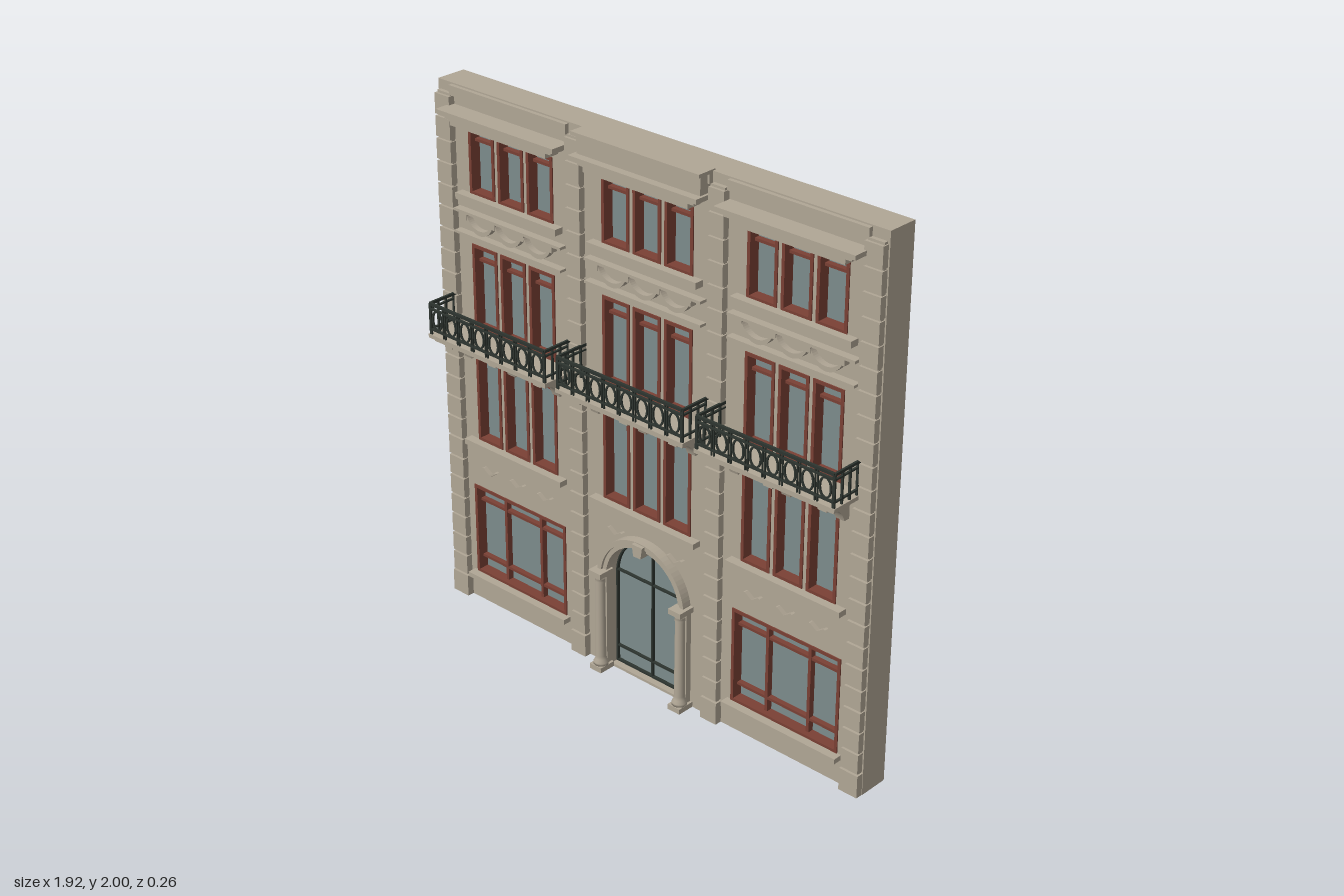
import * as THREE from 'three';

const mat = (name, color) => Object.assign(new THREE.MeshStandardMaterial({ color }), { name });

export function createModel() {
  const stone = mat('stone', 0xb0a695), glass = mat('glass', 0x7c8b8b);
  const timber = mat('redTimber', 0x7a4034), iron = mat('darkIron', 0x2d342f);
  const root = new THREE.Group();
  root.name = 'facade';
  const FACE = -0.015, BACK = -0.13, GLASS = -0.06;
  const BAYS = [-0.62, 0, 0.62], TRIPLE = [-0.138, 0, 0.138];

  const add = (parent, name, geo, m) => {
    const mesh = new THREE.Mesh(geo, m);
    mesh.name = name;
    parent.add(mesh);
    return mesh;
  };
  const box = (parent, name, m, x0, x1, y0, y1, z0, z1) => {
    const mesh = add(parent, name, new THREE.BoxGeometry(x1 - x0, y1 - y0, z1 - z0), m);
    mesh.position.set((x0 + x1) / 2, (y0 + y1) / 2, (z0 + z1) / 2);
    return mesh;
  };
  const extrude = (parent, name, m, shape, z0, z1) => {
    const geo = new THREE.ExtrudeGeometry(shape, { depth: z1 - z0, bevelEnabled: false, curveSegments: 20 });
    const mesh = add(parent, name, geo, m);
    mesh.position.z = z0;
    return mesh;
  };
  const group = (name, x = 0) => {
    const g = new THREE.Group();
    g.name = name;
    g.position.x = x;
    root.add(g);
    return g;
  };
  const poly = pts => new THREE.Shape(pts.map(p => new THREE.Vector2(...p)));
  const rect = (x0, x1, y0, y1) => poly([[x0, y0], [x1, y0], [x1, y1], [x0, y1]]);
  const archShape = (r, y0, spring) => {
    const s = new THREE.Shape();
    s.moveTo(-r, y0);
    s.lineTo(r, y0);
    s.lineTo(r, spring);
    s.absarc(0, spring, r, 0, Math.PI, false);
    s.closePath();
    return s;
  };

  // Window openings: x0, x1, y0, y1, mullion offsets, transom heights
  const openings = [];
  for (const b of BAYS) {
    for (const [y0, y1, t] of [[1.62, 1.85, 1.81], [1.115, 1.43, 1.37], [0.675, 1.06, 0.99]])
      for (const o of TRIPLE) openings.push([b + o - 0.058, b + o + 0.058, y0, y1, [], [t]]);
    if (b) openings.push([b - 0.228, b + 0.228, 0.115, 0.475, [-0.09, 0.09], [0.175, 0.412]]);
  }

  // Wall slab pierced by all openings
  const wall = rect(-0.96, 0.96, 0, 1.995);
  for (const [x0, x1, y0, y1] of openings) wall.holes.push(rect(x0, x1, y0, y1));
  wall.holes.push(archShape(0.17, 0.01, 0.378));
  extrude(root, 'wall', stone, wall, BACK, FACE);

  // Windows
  const windows = group('windows');
  for (const [x0, x1, y0, y1, mullions, transoms] of openings) {
    const w = 0.009, c = (x0 + x1) / 2;
    box(windows, 'pane', glass, x0, x1, y0, y1, GLASS, GLASS + 0.008);
    const frame = rect(x0 - 0.003, x1 + 0.003, y0 - 0.003, y1 + 0.003);
    frame.holes.push(rect(x0 + w, x1 - w, y0 + w, y1 - w));
    extrude(windows, 'windowFrame', timber, frame, GLASS + 0.008, FACE + 0.004);
    for (const m of mullions)
      box(windows, 'mullion', timber, c + m - 0.006, c + m + 0.006, y0, y1, GLASS + 0.008, -0.03);
    for (const t of transoms)
      box(windows, 'transom', timber, x0, x1, t - 0.005, t + 0.005, GLASS + 0.008, -0.032);
  }

  // Rusticated pilasters
  const pilasters = group('pilasters');
  for (const [x0, x1] of [[-0.955, -0.885], [-0.342, -0.278], [0.278, 0.342], [0.885, 0.955]]) {
    box(pilasters, 'pilasterCore', stone, x0 + 0.004, x1 - 0.004, 0, 1.96, FACE, 0);
    box(pilasters, 'pilasterBase', stone, x0 - 0.003, x1 + 0.003, 0, 0.085, FACE, 0.012);
    for (let i = 0; i < 23; i++) {
      const y = 0.092 + i * 0.0812;
      box(pilasters, 'pilasterBlock', stone, x0, x1, y, y + 0.0732, FACE, 0.01);
    }
  }

  for (const b of BAYS) {
    // Sills, frieze ledges and cornice
    const trim = group('bayTrim', b);
    const ledge = (name, w, y0, y1, z) => box(trim, name, stone, -w, w, y0, y1, FACE, z);
    ledge('upperSill', 0.24, 1.597, 1.62, 0.02);
    ledge('middleSill', 0.24, 0.652, 0.673, 0.02);
    if (b) ledge('shopSill', 0.247, 0.095, 0.114, 0.02);
    ledge('friezeTop', 0.255, 1.549, 1.559, 0.015);
    ledge('friezeBottom', 0.255, 1.468, 1.477, 0.015);
    ledge('corniceBed', 0.225, 1.872, 1.89, 0.045);
    ledge('corniceStep', 0.25, 1.89, 1.906, 0.045);
    ledge('corniceShelf', 0.275, 1.906, 1.922, 0.062);
    ledge('parapetBand', 0.274, 1.955, 1.99, 0);
    if (!b) {
      ledge('parapetBlock', 0.265, 1.922, 1.988, 0.032);
      box(trim, 'parapetCap', stone, -0.275, 0.275, 1.988, 2, -0.025, 0.05);
    }

    // Swags and chevrons
    for (const o of TRIPLE) {
      const s = new THREE.Shape();
      s.moveTo(o - 0.068, 1.54);
      s.bezierCurveTo(o - 0.045, 1.465, o + 0.045, 1.465, o + 0.068, 1.54);
      s.lineTo(o + 0.06, 1.54);
      s.bezierCurveTo(o + 0.04, 1.488, o - 0.04, 1.488, o - 0.06, 1.54);
      extrude(trim, 'swag', stone, s, FACE, 0.008);
      box(trim, 'swagKnot', stone, o - 0.073, o - 0.06, 1.525, 1.549, FACE, 0.01);
      box(trim, 'swagKnot', stone, o + 0.06, o + 0.073, 1.525, 1.549, FACE, 0.01);
      if (b || o) extrude(trim, 'chevron', stone, poly([[o - 0.035, 0.57], [o - 0.028, 0.572], [o, 0.553],
        [o + 0.028, 0.572], [o + 0.035, 0.57], [o, 0.543]]), FACE, 0.002);
    }

    // Balcony slab and scroll brackets
    const balcony = group('balcony', b);
    box(balcony, 'balconyFloor', stone, -0.287, 0.287, 1.096, 1.11, FACE, 0.127);
    box(balcony, 'balconyUnderstep', stone, -0.272, 0.272, 1.082, 1.096, FACE, 0.112);
    const bracket = new THREE.Shape();
    bracket.moveTo(FACE, 1.0);
    bracket.lineTo(0.008, 1.0);
    bracket.bezierCurveTo(0.025, 1.05, 0.055, 1.06, 0.1, 1.068);
    bracket.lineTo(0.1, 1.082);
    bracket.lineTo(FACE, 1.082);
    for (const o of [-0.218, 0, 0.218]) {
      const m = extrude(balcony, 'bracket', stone, bracket, 0, 0.036);
      m.rotation.y = -Math.PI / 2;
      m.position.set(o + 0.018, 0, 0);
    }

    // Iron railing
    const rail = group('railing', b);
    const W = 0.28, Z = 0.121;
    for (const [y, t] of [[1.226, 0.005], [1.208, 0.003], [1.13, 0.003]]) {
      box(rail, 'frontRail', iron, -W, W, y - t, y + t, Z - 0.005, Z + 0.005);
      for (const s of [-1, 1])
        box(rail, 'sideRail', iron, s * W - 0.004, s * W + 0.004, y - t, y + t, FACE, Z);
    }
    for (const s of [-1, 1]) for (const z of [0.01, 0.047, 0.084, Z])
      box(rail, 'sideBar', iron, s * W - 0.004, s * W + 0.004, 1.11, 1.226, z - 0.003, z + 0.003);
    const pitch = 2 * W / 8;
    for (let i = 0; i < 8; i++) {
      const x = -W + (i + 0.5) * pitch;
      const oval = new THREE.Shape().absellipse(x, 1.169, 0.025, 0.038, 0, Math.PI * 2);
      oval.holes.push(new THREE.Path().absellipse(x, 1.169, 0.019, 0.032, 0, Math.PI * 2));
      extrude(rail, 'railOval', iron, oval, Z - 0.003, Z + 0.003);
      for (const s of [-1, 1])
        box(rail, 'railBar', iron, x + s * 0.03 - 0.002, x + s * 0.03 + 0.002, 1.11, 1.226, Z - 0.003, Z + 0.003);
    }
  }

  // Arched entrance
  const door = group('entrance');
  extrude(door, 'doorGlass', glass, archShape(0.17, 0.01, 0.378), GLASS, GLASS + 0.008);
  const doorFrame = archShape(0.17, 0.01, 0.378);
  doorFrame.holes.push(archShape(0.164, 0.017, 0.378));
  extrude(door, 'doorFrame', iron, doorFrame, GLASS + 0.008, -0.04);
  box(door, 'doorMullion', iron, -0.003, 0.003, 0.01, 0.545, GLASS + 0.008, -0.04);
  for (const y of [0.075, 0.387])
    box(door, 'doorTransom', iron, -0.168, 0.168, y - 0.003, y + 0.003, GLASS + 0.008, -0.041);
  for (const [r0, r1, z] of [[0.17, 0.192, 0.012], [0.186, 0.203, 0.022]]) {
    const arch = new THREE.Shape();
    arch.absarc(0, 0.378, r1, 0, Math.PI, false);
    arch.absarc(0, 0.378, r0, Math.PI, 0, true);
    extrude(door, 'archMoulding', stone, arch, FACE, z);
  }
  extrude(door, 'keystone', stone, poly([[-0.017, 0.532], [0.017, 0.532], [0.024, 0.577], [-0.024, 0.577]]), FACE, 0.036);

  // Entrance columns
  const profile = [[0, 0.02], [0.027, 0.02], [0.027, 0.03], [0.021, 0.042], [0.019, 0.055], [0.017, 0.35],
    [0.019, 0.362], [0.017, 0.368], [0.025, 0.385], [0, 0.385]].map(p => new THREE.Vector2(...p));
  for (const s of [-1, 1]) {
    const x = s * 0.187;
    add(door, 'column', new THREE.LatheGeometry(profile, 20), stone).position.set(x, 0, 0.022);
    box(door, 'columnBase', stone, x - 0.027, x + 0.027, 0, 0.02, FACE, 0.052);
    box(door, 'columnCapital', stone, x - 0.028, x + 0.028, 0.385, 0.405, FACE, 0.052);
    box(door, 'columnBacking', stone, x - 0.017, x + 0.017, 0.02, 0.385, FACE, 0.008);
  }
  return root;
}
